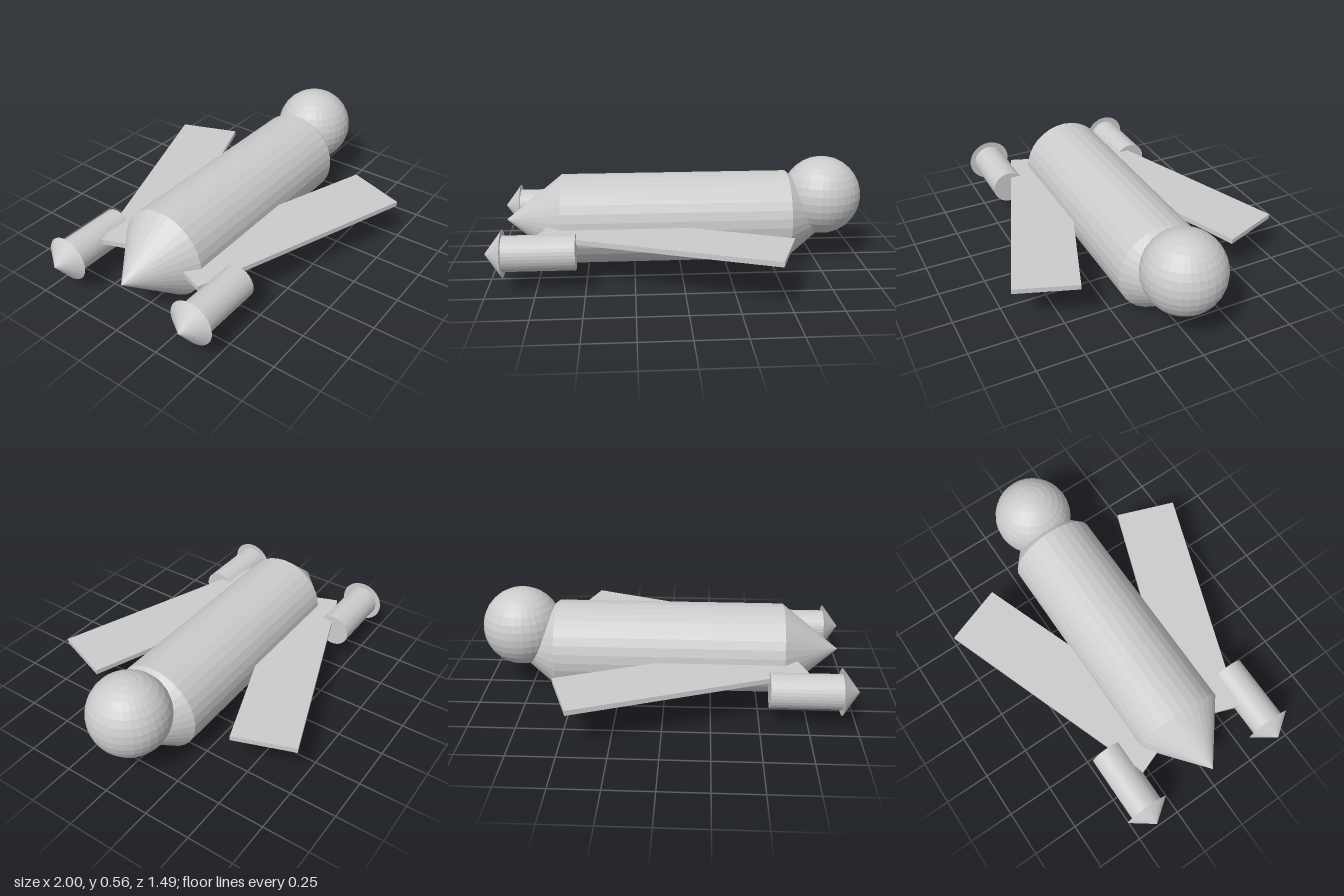
import * as THREE from 'three';

const grey = new THREE.MeshStandardMaterial({ color: 0xcccccc });
grey.name = 'light grey';
grey.flatShading = true;

function add(parent, name, geometry, x, y, z) {
  const mesh = new THREE.Mesh(geometry, grey);
  mesh.name = name;
  mesh.position.set(x, y, z);
  parent.add(mesh);
  return mesh;
}

// Geometries turned so that their axis runs along x
const tube = (r, length) => new THREE.CylinderGeometry(r, r, length, 32).rotateZ(Math.PI / 2);
const cone = (r, length, dir) => new THREE.ConeGeometry(r, length, 32).rotateZ(-dir * Math.PI / 2);

export function createModel() {
  const model = new THREE.Group();
  model.name = 'flyer';
  const axisY = 0.245, radius = 0.243;

  // Body with a cone at each end
  add(model, 'body', tube(radius, 1.22), -0.025, axisY, 0);
  add(model, 'tailCone', cone(radius, 0.305, -1), -0.7875, axisY, 0);
  add(model, 'neckCone', cone(radius, 0.305, 1), 0.7375, axisY, 0);

  // Round head
  add(model, 'head', new THREE.SphereGeometry(0.213, 32, 16), 0.786, 0.354, 0);

  // Swept wings and tail thrusters, mirrored across z
  for (const s of [1, -1]) {
    const side = s > 0 ? 'Front' : 'Back';
    const wing = add(model, 'wing' + side, new THREE.BoxGeometry(1.27, 0.027, 0.335), -0.095, 0.246, s * 0.37);
    wing.rotation.y = -s * THREE.MathUtils.degToRad(20);

    const thruster = new THREE.Group();
    thruster.name = 'thruster' + side;
    thruster.position.set(0, 0.2, s * 0.398);
    add(thruster, 'thrusterTube', tube(0.091, 0.37), -0.73, 0, 0);
    add(thruster, 'thrusterCone', cone(0.121, 0.09, -1), -0.955, 0, 0);
    model.add(thruster);
  }
  return model;
}
